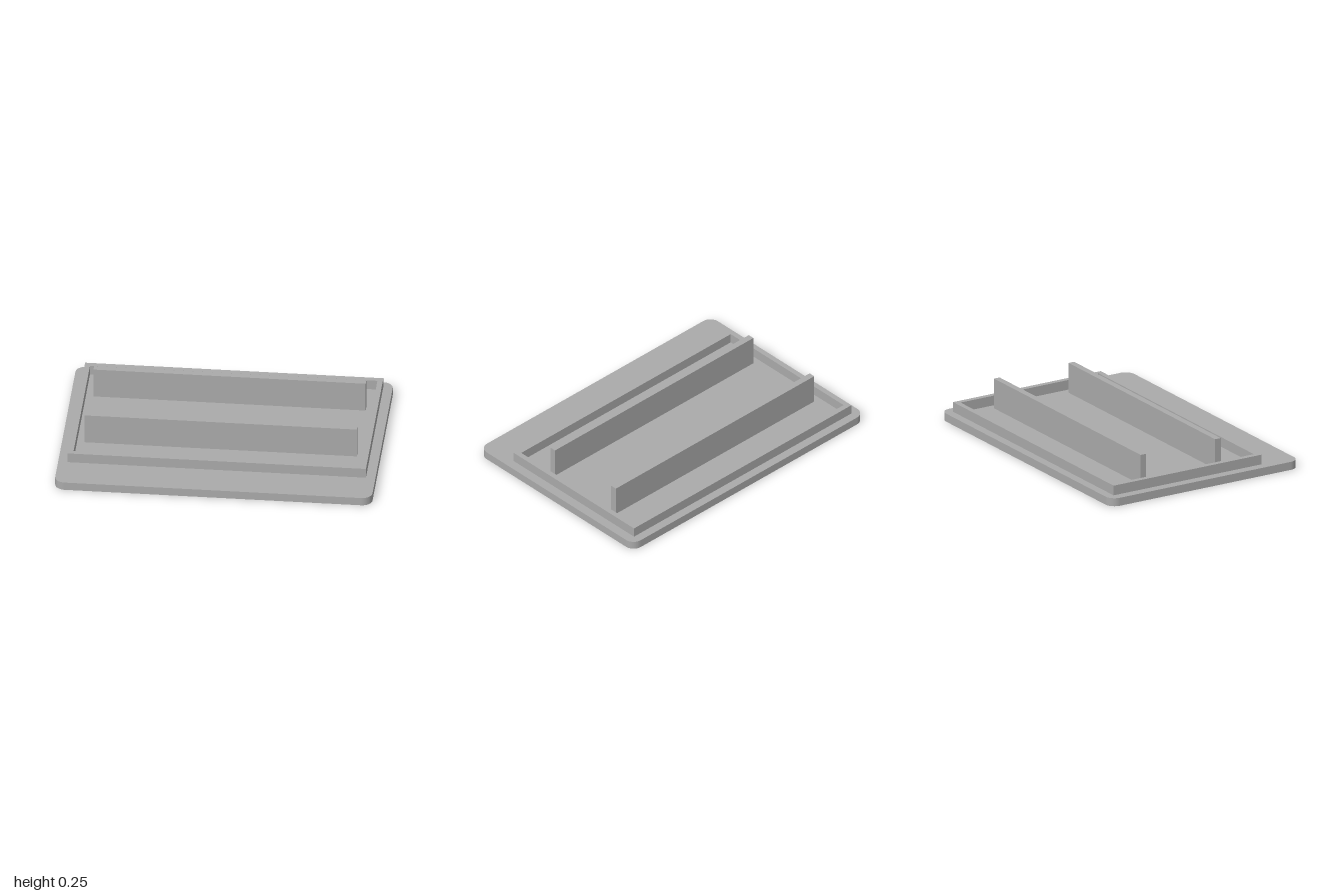
import * as THREE from 'three';

const PLATE_TOP = 0.053, RIM_TOP = 0.117, RAIL_TOP = 0.25;

// Rectangle in plan (shape y = -z), optionally with rounded corners
function rect(Type, x, zBack, zFront, r = 0) {
  const s = new Type(), y0 = -zFront, y1 = -zBack;
  s.moveTo(-x + r, y0);
  s.lineTo(x - r, y0);
  if (r) s.absarc(x - r, y0 + r, r, -Math.PI / 2, 0);
  s.lineTo(x, y1 - r);
  if (r) s.absarc(x - r, y1 - r, r, 0, Math.PI / 2);
  s.lineTo(-x + r, y1);
  if (r) s.absarc(-x + r, y1 - r, r, Math.PI / 2, Math.PI);
  s.lineTo(-x, y0 + r);
  if (r) s.absarc(-x + r, y0 + r, r, Math.PI, Math.PI * 1.5);
  s.closePath();
  return s;
}

// Extrude a plan shape upward from y0 to y1
function slab(shape, y0, y1) {
  const g = new THREE.ExtrudeGeometry(shape, { depth: y1 - y0, bevelEnabled: false, curveSegments: 12 });
  return g.rotateX(-Math.PI / 2).translate(0, y0, 0);
}

export function createModel() {
  const model = new THREE.Group();
  model.name = 'coverPlate';
  const grey = new THREE.MeshStandardMaterial({ color: 0xaaaaaa });
  grey.name = 'grey';

  const add = (name, geometry) => {
    const mesh = new THREE.Mesh(geometry, grey);
    mesh.name = name;
    model.add(mesh);
  };

  // Rounded base plate
  add('basePlate', slab(rect(THREE.Shape, 1, -0.7, 0.7, 0.065), 0, PLATE_TOP));

  // Low rectangular rim, set towards the back
  const rim = rect(THREE.Shape, 0.94, -0.644, 0.453);
  rim.holes.push(rect(THREE.Path, 0.906, -0.609, 0.419));
  add('rim', slab(rim, PLATE_TOP, RIM_TOP));

  // Two upright rails inside the rim
  for (const [name, z] of [['frontRail', 0.183], ['backRail', -0.371]]) {
    add(name, new THREE.BoxGeometry(1.716, RAIL_TOP - PLATE_TOP, 0.042)
      .translate(0, (RAIL_TOP + PLATE_TOP) / 2, z));
  }
  return model;
}
